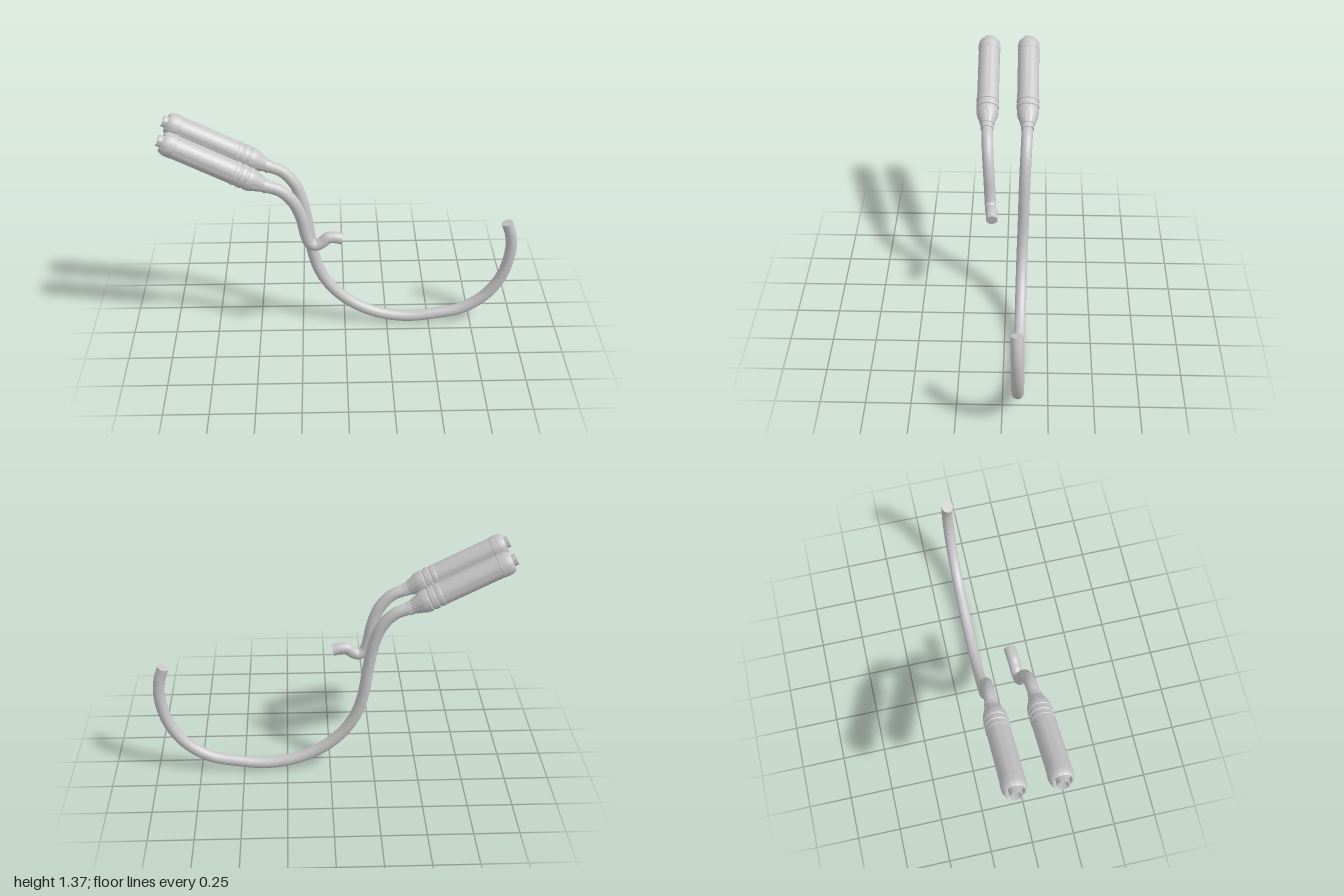
import * as THREE from 'three';
import { toCreasedNormals } from 'three/addons/utils/BufferGeometryUtils.js';

const PIPE_RADIUS = 0.033;
const JOINT = new THREE.Vector2(-0.43, 1.051); // where each pipe meets its silencer
const TILT = THREE.MathUtils.degToRad(63);

// Silencer profile as [distance from joint, radius]
const BODY = [
  [-0.01, 0.03], [-0.01, 0.038], [0.02, 0.038], [0.022, 0.042], [0.045, 0.048],
  [0.075, 0.06], [0.095, 0.064], [0.115, 0.064], [0.118, 0.061], [0.127, 0.061],
  [0.13, 0.066], [0.155, 0.066], [0.158, 0.062], [0.168, 0.062],
  [0.171, 0.066], [0.19, 0.066], [0.194, 0.0635], [0.53, 0.0635],
  [0.532, 0.0655], [0.565, 0.0655], [0.582, 0.063], [0.596, 0.057], [0.603, 0.05],
  [0.6, 0.046], [0.575, 0.044], [0.575, 0.03],
];
const TIP = [[0.57, 0.032], [0.625, 0.032], [0.625, 0.026], [0.56, 0.026], [0.56, 0]];

// Pipe centrelines as [x, y, z]
const LONG_PIPE = [
  [-0.43, 1.05, -0.117], [-0.355, 1.02, -0.115], [-0.285, 0.945, -0.111], [-0.243, 0.84, -0.107],
  [-0.212, 0.68, -0.103], [-0.19, 0.52, -0.1], [-0.147, 0.37, -0.096], [-0.072, 0.248, -0.093],
  [0.045, 0.143, -0.091], [0.195, 0.07, -0.089], [0.37, 0.04, -0.088], [0.54, 0.057, -0.087],
  [0.7, 0.094, -0.086], [0.837, 0.19, -0.085], [0.928, 0.335, -0.084], [0.964, 0.505, -0.083],
  [0.955, 0.61, -0.082], [0.93, 0.686, -0.081],
];
const SHORT_PIPE = [
  [-0.43, 1.05, 0.115], [-0.355, 1.02, 0.112], [-0.285, 0.945, 0.107], [-0.243, 0.84, 0.1],
  [-0.222, 0.735, 0.095], [-0.202, 0.678, 0.092], [-0.168, 0.658, 0.089], [-0.13, 0.675, 0.086],
  [-0.1, 0.7, 0.083], [-0.067, 0.702, 0.08], [-0.02, 0.691, 0.077],
];

export function createModel() {
  const steel = new THREE.MeshStandardMaterial({ color: 0xc6c6c6 });
  steel.name = 'steel';
  const model = new THREE.Group();
  model.name = 'exhaustSystem';

  function lathe(name, profile) {
    const points = profile.map(([s, r]) => new THREE.Vector2(r, s));
    const mesh = new THREE.Mesh(toCreasedNormals(new THREE.LatheGeometry(points, 40), 0.5), steel);
    mesh.name = name;
    return mesh;
  }

  function silencer(name, z) {
    const group = new THREE.Group();
    group.name = name;
    group.add(lathe('silencerBody', BODY), lathe('outletTip', TIP));
    group.position.set(JOINT.x, JOINT.y, z);
    group.rotation.z = TILT;
    model.add(group);
  }

  // Bent tube with a flat disc closing each end
  function pipe(name, path, segments) {
    const curve = new THREE.CatmullRomCurve3(path.map((p) => new THREE.Vector3(...p)));
    const group = new THREE.Group();
    group.name = name;
    const tube = new THREE.Mesh(new THREE.TubeGeometry(curve, segments, PIPE_RADIUS, 24), steel);
    tube.name = 'bentTube';
    group.add(tube);
    for (const t of [0, 1]) {
      const cap = new THREE.Mesh(new THREE.CircleGeometry(PIPE_RADIUS, 24), steel);
      cap.name = 'pipeEnd';
      const outward = curve.getTangent(t).multiplyScalar(t ? 1 : -1);
      cap.position.copy(curve.getPoint(t));
      cap.quaternion.setFromUnitVectors(new THREE.Vector3(0, 0, 1), outward);
      group.add(cap);
    }
    model.add(group);
  }

  silencer('rearSilencer', -0.118);
  silencer('frontSilencer', 0.116);
  pipe('longPipe', LONG_PIPE, 120);
  pipe('shortPipe', SHORT_PIPE, 72);
  return model;
}
